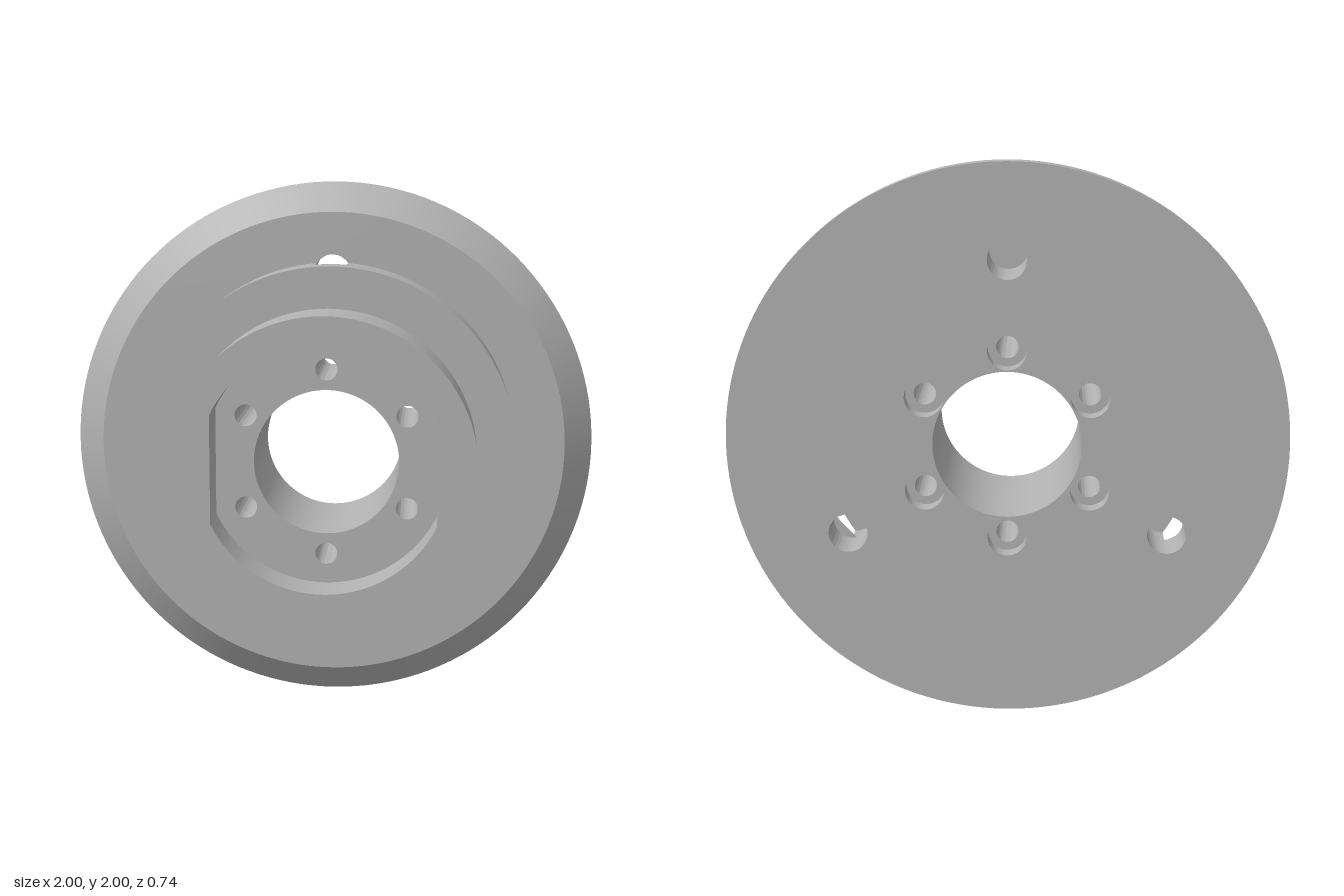
import * as THREE from 'three';
import { toCreasedNormals } from 'three/addons/utils/BufferGeometryUtils.js';

const BORE = 0.265;
const PIN = { d: 0.66, r: 0.07 };      // three blind locating holes
const SCREW = { d: 0.34, r: 0.04, head: 0.07 }; // six screw holes

const circle = (r, x = 0, y = 0) => new THREE.Path().absarc(x, y, r, 0, Math.PI * 2, false);

// Holes evenly spaced on a circle, the first one straight up
const holeRing = (count, d, r) => Array.from({ length: count }, (_, i) => {
  const t = Math.PI / 2 + (i * Math.PI * 2) / count;
  return circle(r, d * Math.cos(t), d * Math.sin(t));
});

const disc = (r) => new THREE.Shape().absarc(0, 0, r, 0, Math.PI * 2, false);

// Disc whose rim is cut by the three locating holes
function notchedDisc(R) {
  const { d, r } = PIN;
  const a = Math.acos((R * R + d * d - r * r) / (2 * R * d));
  const phi = Math.atan2(R * Math.sin(a), R * Math.cos(a) - d);
  const s = new THREE.Shape();
  for (let i = 0; i < 3; i++) {
    const t = Math.PI / 2 + (i * Math.PI * 2) / 3;
    s.absarc(d * Math.cos(t), d * Math.sin(t), r, t - phi, t + phi, true);
    s.absarc(0, 0, R, t + a, t + (Math.PI * 2) / 3 - a, false);
  }
  return s;
}

// Round pocket with a flat on each side
function pocketPath(r, flat) {
  const a = Math.acos(flat / r);
  const p = new THREE.Path();
  p.absarc(0, 0, r, a, Math.PI - a, false);
  p.absarc(0, 0, r, Math.PI + a, Math.PI * 2 - a, false);
  p.closePath();
  return p;
}

export function createModel() {
  const model = new THREE.Group();
  model.name = 'flangedHub';
  const metal = new THREE.MeshStandardMaterial({ color: 0xb2b2b2 });
  metal.name = 'grey metal';

  // Extrudes one layer between two depths; frontRadius tapers its rim
  function layer(name, shape, holes, z0, z1, frontRadius) {
    shape.holes.push(...holes);
    const geo = new THREE.ExtrudeGeometry(shape, { depth: z1 - z0, bevelEnabled: false, curveSegments: 72 });
    geo.translate(0, 0, z0);
    if (frontRadius) {
      const p = geo.attributes.position;
      for (let i = 0; i < p.count; i++) {
        const r = Math.hypot(p.getX(i), p.getY(i));
        if (r > 0.95 && p.getZ(i) > (z0 + z1) / 2) {
          p.setXY(i, (p.getX(i) * frontRadius) / r, (p.getY(i) * frontRadius) / r);
        }
      }
    }
    const mesh = new THREE.Mesh(toCreasedNormals(geo, Math.PI / 6), metal);
    mesh.name = name;
    mesh.position.y = 1;
    model.add(mesh);
  }

  const bore = () => circle(BORE);
  const screws = () => holeRing(6, SCREW.d, SCREW.r);
  const heads = () => holeRing(6, SCREW.d, SCREW.head);
  const pins = () => holeRing(3, PIN.d, PIN.r);

  // Flange with counterbored back and chamfered front
  layer('flangeBack', disc(1), [bore(), ...heads(), ...pins()], -0.37, -0.3);
  layer('flangeChamfer', disc(1), [bore(), ...screws(), ...pins()], -0.3, -0.2, 0.89);

  // Stepped hub
  layer('hubNotched', notchedDisc(0.7), [bore(), ...screws()], -0.2, -0.11);
  layer('hub', disc(0.7), [bore(), ...screws()], -0.11, 0.02);
  layer('neck', disc(0.435), [bore(), ...screws()], 0.02, 0.08);

  // Front collar with its pocket
  layer('collarBase', disc(0.55), [bore(), ...screws()], 0.08, 0.185);
  layer('collarRim', disc(0.55), [pocketPath(0.45, 0.405)], 0.185, 0.37);

  // Small pin bridging the groove under the neck
  const pin = new THREE.Mesh(new THREE.CylinderGeometry(0.035, 0.035, 0.06, 32), metal);
  pin.name = 'groovePin';
  pin.rotation.x = Math.PI / 2;
  pin.position.set(0, 0.535, 0.05);
  model.add(pin);

  return model;
}
